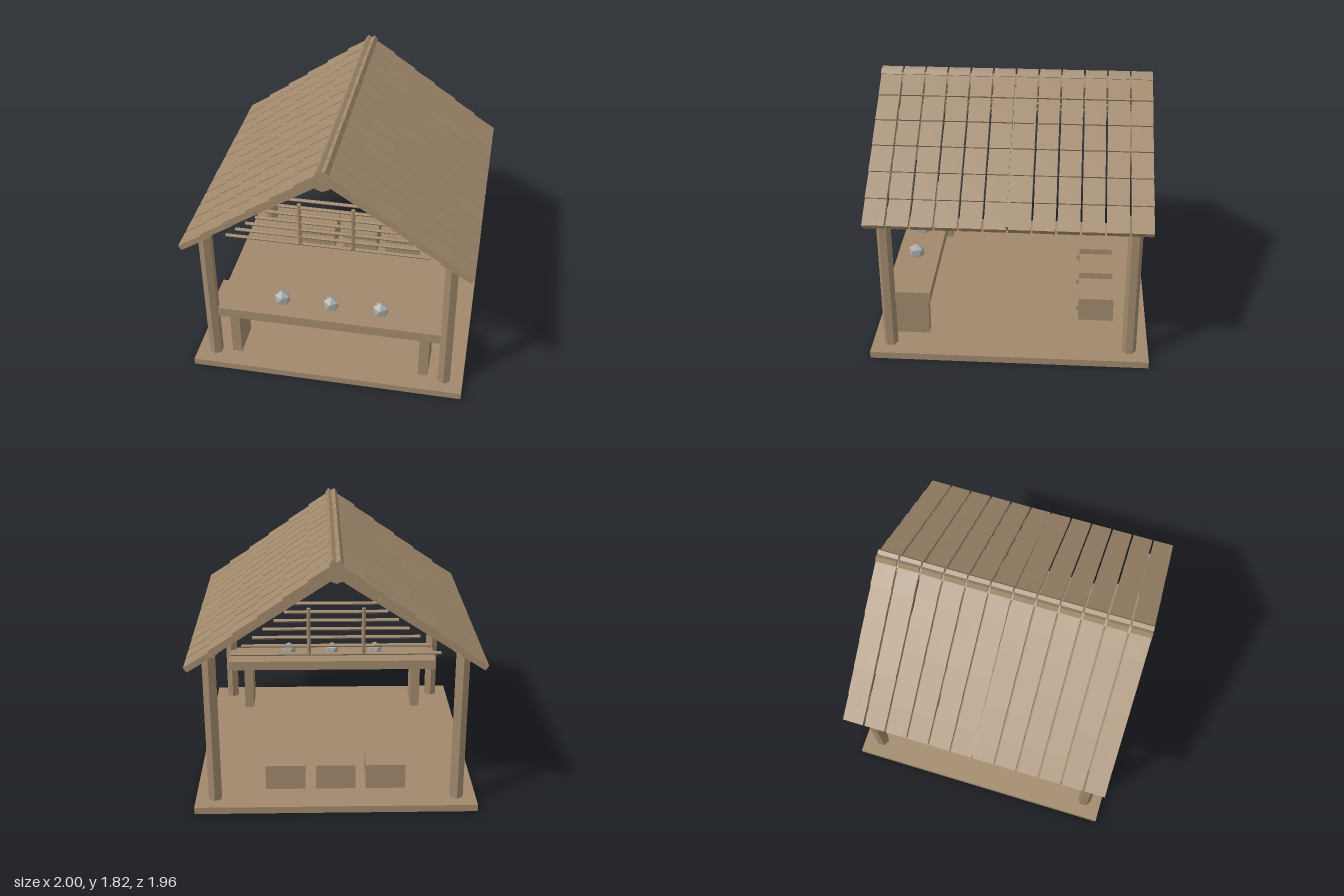
import * as THREE from 'three';

export function createModel() {
  const model = new THREE.Group();
  const wood = new THREE.MeshStandardMaterial({ name: 'wood', color: 0xa0886b, flatShading: true });
  const stone = new THREE.MeshStandardMaterial({ name: 'greyStone', color: 0xa8a8a6, flatShading: true });

  const add = (name, geometry, x, y, z, parent = model, material = wood) => {
    const mesh = new THREE.Mesh(geometry, material);
    mesh.name = name;
    mesh.position.set(x, y, z);
    parent.add(mesh);
    return mesh;
  };
  const group = (name) => {
    const g = new THREE.Group();
    g.name = name;
    model.add(g);
    return g;
  };
  const box = (w, h, d) => new THREE.BoxGeometry(w, h, d);
  let seed = 7;
  const jitter = (amount) => {
    seed = (seed * 16807) % 2147483647;
    return (seed / 2147483647 - 0.5) * 2 * amount;
  };

  // Floor and hexagonal corner posts
  add('floor', box(1.96, 0.05, 1.96), 0, 0.025, 0);
  const postGeo = new THREE.CylinderGeometry(0.05, 0.05, 1.08, 6);
  for (const x of [-0.845, 0.845])
    for (const z of [-0.845, 0.85]) add('post', postGeo, x, 0.59, z);

  // Counter with its two legs
  const counter = group('counter');
  add('counterTop', box(1.7, 0.075, 0.31), 0, 0.4375, 0.71, counter);
  for (const s of [-1, 1]) add('counterLeg', box(0.07, 0.35, 0.25), s * 0.69, 0.225, 0.715, counter);

  // Crates with a front batten, and faceted stones on the counter
  const orbGeo = new THREE.IcosahedronGeometry(0.061, 0);
  orbGeo.rotateX(-Math.atan2((1 + Math.sqrt(5)) / 2, 1));
  for (const i of [-1, 0, 1]) {
    const crate = group('crate');
    add('crateBody', box(0.28, 0.185, 0.255), i * 0.355, 0.1425, -0.6125, crate);
    add('crateBatten', box(0.28, 0.035, 0.02), i * 0.355, 0.155, -0.475, crate);
    add('stone', orbGeo, i * 0.357, 0.517, 0.72, model, stone);
  }

  // Gable lattices at both ends
  const barGeo = new THREE.CylinderGeometry(0.0115, 0.0115, 1, 6).rotateZ(Math.PI / 2);
  const uprightGeo = new THREE.CylinderGeometry(0.015, 0.015, 0.32, 6);
  for (const z of [-0.85, 0.85]) {
    const lattice = group('gableLattice');
    for (let i = 0; i < 7; i++)
      add('latticeBar', barGeo, 0, 1.14 + i * 0.059, z, lattice).scale.x = 2 * (0.695 - i * 0.0715);
    for (const s of [-1, 1]) add('latticeUpright', uprightGeo, s * 0.18, 1.3, z, lattice);
  }

  // Ridge beam and rafters
  const ridgeGeo = new THREE.CylinderGeometry(0.064, 0.064, 1.92, 8).rotateX(Math.PI / 2);
  add('ridgeBeam', ridgeGeo, 0, 1.725, 0.005);
  const rise = 0.64, run = 0.97;
  const rafterGeo = box(Math.hypot(rise, run), 0.05, 0.05);
  for (const s of [-1, 1])
    for (const z of [-0.895, 0, 0.895])
      add('rafter', rafterGeo, s * run / 2, 1.4, z).rotation.z = -s * Math.atan2(rise, run);

  // Overlapping roof tiles, each lying a little flatter than the roof
  const length = 0.25, thick = 0.04, tilt = 0.57;
  const tileGeo = box(length, thick, 0.148);
  const cx = (Math.cos(tilt) * length + Math.sin(tilt) * thick) / 2;
  const cy = (Math.sin(tilt) * length - Math.cos(tilt) * thick) / 2;
  for (const s of [-1, 1]) {
    const slope = group(s < 0 ? 'rightRoofSlope' : 'leftRoofSlope');
    for (let row = 0; row < 6; row++)
      for (let col = 0; col < 12; col++) {
        const x = -1 + row * 0.163 + cx;
        const y = 1.09 + row * 0.119 + cy;
        const tile = add('roofTile', tileGeo, -s * x, y, 0.89 - col * 0.161, slope);
        tile.rotation.set(jitter(0.01), jitter(0.01), -s * (tilt + jitter(0.008)));
      }
  }
  return model;
}
